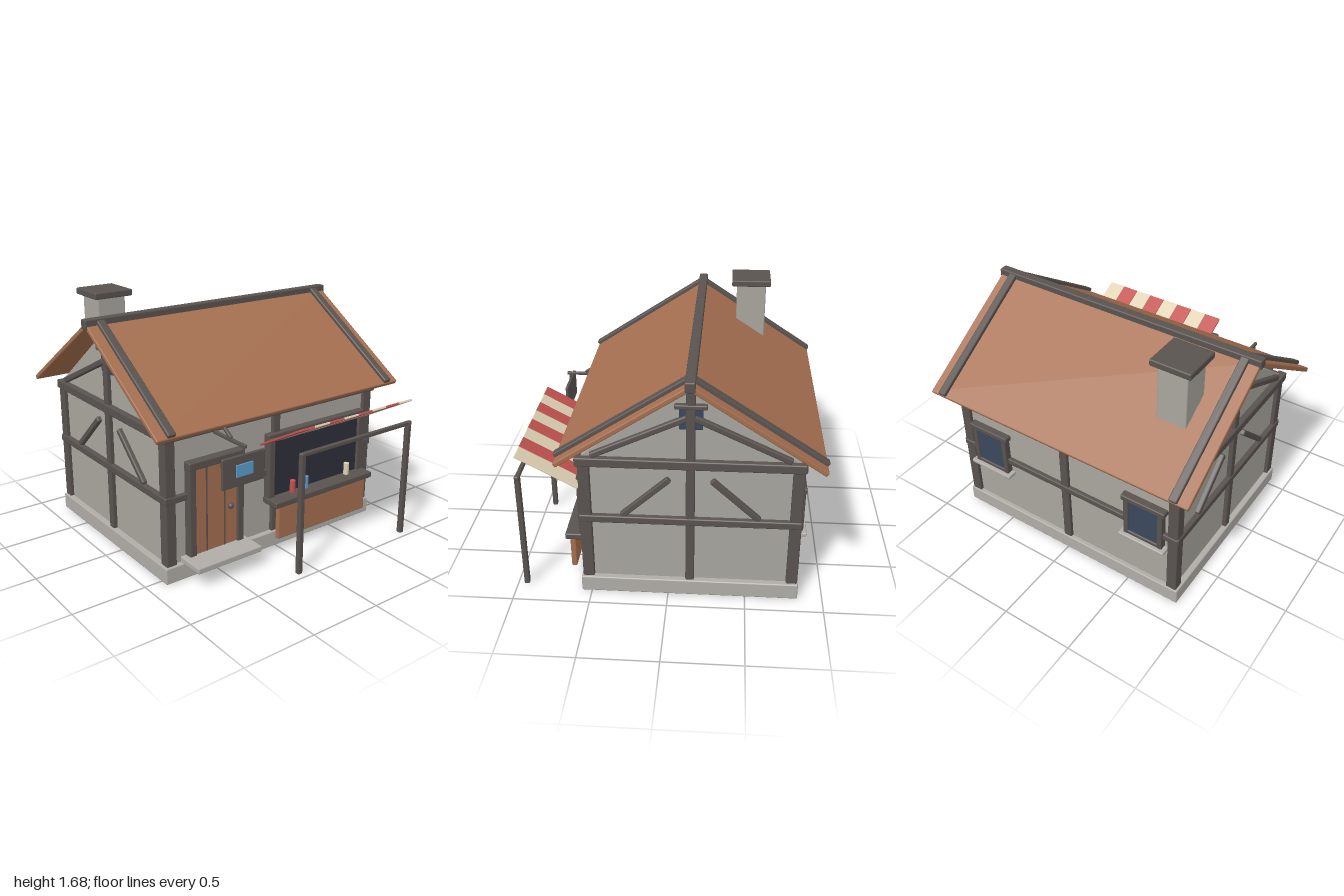
import * as THREE from 'three';
import { RoundedBoxGeometry } from 'three/addons/geometries/RoundedBoxGeometry.js';

const paint = (name, color) => {
  const m = new THREE.MeshStandardMaterial({ color });
  m.name = name;
  return m;
};

export function createModel() {
  const plaster = paint('plaster', 0xa9a69f), stone = paint('stone', 0xb0ada7);
  const timber = paint('darkTimber', 0x5a5350), brown = paint('warmWood', 0xa56f50);
  const dark = paint('darkInterior', 0x2e2e3a), glass = paint('windowGlass', 0x3a475c);
  const red = paint('redCloth', 0xc25250), cream = paint('creamCloth', 0xdfd1b3);
  const blue = paint('bluePaint', 0x5a9fca);

  const model = new THREE.Group();
  model.name = 'marketHouse';
  const MID = -0.14; // z of the ridge and of the house centre

  const group = (name, parent = model) => {
    const g = new THREE.Group();
    g.name = name;
    parent.add(g);
    return g;
  };
  const add = (parent, name, geometry, material) => {
    const m = new THREE.Mesh(geometry, material);
    m.name = name;
    parent.add(m);
    return m;
  };
  // Softly bevelled box given by its limits on each axis
  const block = (parent, name, mat, [x0, x1], [y0, y1], [z0, z1]) => {
    const s = [x1 - x0, y1 - y0, z1 - z0];
    const r = Math.min(0.008, Math.min(...s) * 0.3);
    const m = add(parent, name, new RoundedBoxGeometry(...s, 1, r), mat);
    m.position.set((x0 + x1) / 2, (y0 + y1) / 2, (z0 + z1) / 2);
    return m;
  };
  // Straight beam between two points
  const strut = (parent, name, a, b, w, h, mat = timber) => {
    const p = new THREE.Vector3(...a), q = new THREE.Vector3(...b);
    const m = add(parent, name, new RoundedBoxGeometry(w, h, p.distanceTo(q), 1, Math.min(w, h) * 0.25), mat);
    m.position.copy(p).lerp(q, 0.5);
    m.lookAt(q);
    return m;
  };

  // Foundation and walls, with the gables in one extruded outline
  block(model, 'foundation', stone, [-0.88, 0.88], [0, 0.11], [-0.84, 0.565]);
  const outline = new THREE.Shape();
  outline.moveTo(-0.67, 0.1);
  outline.lineTo(0.67, 0.1);
  outline.lineTo(0.67, 1.0);
  outline.lineTo(0, 1.5);
  outline.lineTo(-0.67, 1.0);
  const walls = add(model, 'walls', new THREE.ExtrudeGeometry(outline, { depth: 1.68, bevelEnabled: false }), plaster);
  walls.rotation.y = Math.PI / 2;
  walls.position.set(-0.84, 0, MID);

  // Timber frame: corner posts, front and back rails
  const frame = group('timberFrame');
  for (const sx of [-1, 1]) for (const z of [0.517, -0.797]) {
    const x = sx * 0.83;
    block(frame, 'cornerPost', timber, [x - 0.037, x + 0.037], [0.11, 0.98], [z - 0.037, z + 0.037]);
  }
  for (const z of [0.535, -0.815]) {
    block(frame, 'topRail', timber, [-0.87, 0.87], [0.94, 0.99], [z - 0.03, z + 0.03]);
    block(frame, 'middleRail', timber, [-0.87, 0.87], [0.535, 0.58], [z - 0.025, z + 0.025]);
    block(frame, 'centrePost', timber, [-0.03, 0.03], [0.11, 0.95], [z - 0.02, z + 0.02]);
  }

  // Gable ends: rails, post, braces and attic window
  for (const sx of [-1, 1]) {
    const end = group('gableFrame');
    const xs = (a, b) => (sx > 0 ? [a, b] : [-b, -a]);
    block(end, 'gableTopRail', timber, xs(0.82, 0.88), [0.94, 1.0], [-0.84, 0.57]);
    block(end, 'gableMiddleRail', timber, xs(0.82, 0.875), [0.535, 0.585], [-0.835, 0.56]);
    block(end, 'gablePost', timber, xs(0.82, 0.87), [0.11, 1.48], [MID - 0.028, MID + 0.028]);
    for (const s of [-1, 1]) {
      strut(end, 'wallBrace', [sx * 0.85, 0.585, MID + s * 0.43], [sx * 0.85, 0.86, MID + s * 0.13], 0.04, 0.04);
      strut(end, 'gableBrace', [sx * 0.85, 1.01, MID + s * 0.61], [sx * 0.85, 1.285, MID + s * 0.02], 0.04, 0.04);
    }
    block(end, 'atticGlass', glass, xs(0.836, 0.85), [1.205, 1.345], [MID - 0.072, MID + 0.072]);
    block(end, 'atticLintel', timber, xs(0.83, 0.875), [1.345, 1.375], [MID - 0.098, MID + 0.098]);
  }

  // Roof: two slopes with rafters lying on top
  const roof = group('roof');
  roof.position.set(0, 1.555, MID);
  for (const turn of [0, Math.PI]) {
    const side = group('roofSide', roof);
    side.rotation.y = turn;
    const slope = group('roofSlope', side);
    slope.rotation.x = Math.atan(0.655);
    block(slope, 'roofSlab', brown, [-0.99, 0.99], [-0.032, 0], [0, 0.977]);
    for (const x of [-0.89, 0.89])
      block(slope, 'roofRafter', timber, [x - 0.028, x + 0.028], [-0.005, 0.026], [0.01, 0.972]);
  }
  block(model, 'ridgeBeam', timber, [-1, 1], [1.513, 1.577], [MID - 0.031, MID + 0.031]);

  // Chimney
  block(model, 'chimneyStack', plaster, [-0.755, -0.55], [1.2, 1.64], [-0.6, -0.394]);
  block(model, 'chimneyCap', timber, [-0.79, -0.513], [1.636, 1.68], [-0.632, -0.358]);

  // Door with frame, plank joints, knob and step
  const door = group('door');
  block(door, 'doorPanel', brown, [-0.67, -0.335], [0.13, 0.74], [0.52, 0.572]);
  for (const x of [-0.577, -0.438])
    block(door, 'plankJoint', timber, [x - 0.006, x + 0.006], [0.15, 0.735], [0.568, 0.575]);
  for (const x of [-0.688, -0.316])
    block(door, 'doorJamb', timber, [x - 0.025, x + 0.025], [0.13, 0.74], [0.52, 0.587]);
  block(door, 'doorLintel', timber, [-0.715, -0.287], [0.733, 0.785], [0.52, 0.592]);
  add(door, 'doorKnob', new THREE.SphereGeometry(0.02, 12, 8), timber).position.set(-0.4, 0.42, 0.587);
  block(door, 'doorStep', stone, [-0.755, -0.257], [0.11, 0.15], [0.53, 0.735]);

  // Hanging sign on its bracket
  const sign = group('hangingSign');
  strut(sign, 'signArm', [-0.5, 0.935, 0.55], [-0.5, 0.935, 0.865], 0.022, 0.022);
  strut(sign, 'signArmBrace', [-0.5, 0.945, 0.725], [-0.5, 1.06, 0.55], 0.022, 0.022);
  block(sign, 'signHanger', timber, [-0.507, -0.493], [0.88, 0.93], [0.837, 0.851]);
  block(sign, 'signBoard', timber, [-0.663, -0.343], [0.69, 0.885], [0.833, 0.855]);
  block(sign, 'signPlate', blue, [-0.567, -0.44], [0.752, 0.832], [0.854, 0.863]);

  // Market stall opening and counter
  const stall = group('stall');
  block(stall, 'stallOpening', dark, [-0.04, 0.745], [0.37, 0.78], [0.52, 0.567]);
  for (const x of [-0.057, 0.752])
    block(stall, 'stallJamb', timber, [x - 0.025, x + 0.025], [0.37, 0.8], [0.52, 0.585]);
  block(stall, 'stallLintel', timber, [-0.085, 0.78], [0.772, 0.822], [0.52, 0.58]);
  block(stall, 'counterTop', timber, [-0.092, 0.79], [0.335, 0.377], [0.53, 0.675]);
  block(stall, 'counterFront', brown, [-0.05, 0.75], [0.095, 0.338], [0.615, 0.652]);
  [[0.117, red], [0.232, blue], [0.617, cream]].forEach(([x, mat]) => {
    add(stall, 'jar', new THREE.CylinderGeometry(0.02, 0.02, 0.085, 12), mat).position.set(x, 0.418, 0.592);
  });

  // Striped awning on a post-and-rail support
  const awning = group('awning');
  for (let i = 0; i < 8; i++) {
    const x = -0.0875 + i * 0.125;
    strut(awning, 'awningStripe', [x, 0.768, 0.56], [x, 0.978, 0.942], 0.124, 0.014, i % 2 ? cream : red);
  }
  for (const x of [-0.122, 0.825])
    block(awning, 'awningPost', timber, [x - 0.018, x + 0.018], [0, 0.83], [0.924, 0.96]);
  block(awning, 'awningRail', timber, [-0.145, 0.85], [0.803, 0.832], [0.928, 0.956]);

  // Back windows
  for (const x of [-0.62, 0.62]) {
    const win = group('backWindow');
    block(win, 'windowGlass', glass, [x - 0.12, x + 0.12], [0.45, 0.74], [-0.846, -0.8]);
    for (const s of [-1, 1]) {
      const c = x + s * 0.125;
      block(win, 'windowJamb', timber, [c - 0.018, c + 0.018], [0.45, 0.76], [-0.856, -0.8]);
    }
    block(win, 'windowHead', timber, [x - 0.16, x + 0.16], [0.735, 0.775], [-0.86, -0.8]);
    block(win, 'windowFoot', timber, [x - 0.14, x + 0.14], [0.45, 0.482], [-0.854, -0.8]);
    block(win, 'windowSill', stone, [x - 0.17, x + 0.17], [0.428, 0.455], [-0.878, -0.8]);
  }
  return model;
}
